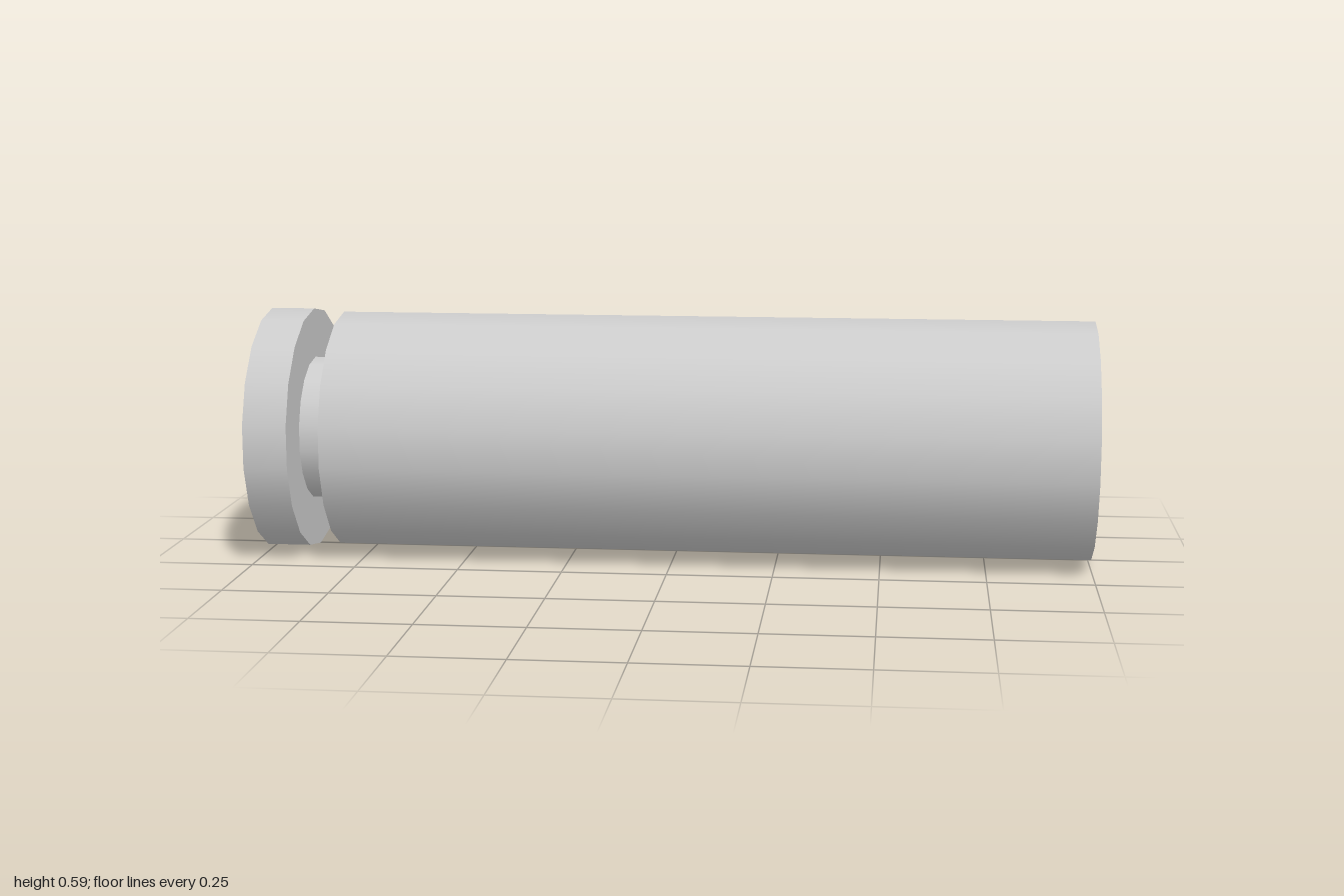
import * as THREE from 'three';

const SIDES = 18;
const AXIS_Y = 0.295, AXIS_Z = 0.005;

export function createModel() {
  const group = new THREE.Group();
  const material = new THREE.MeshStandardMaterial({ color: 0xcccccc });

  const add = (name, geometry, x, y, z) => {
    const mesh = new THREE.Mesh(geometry, material);
    mesh.name = name;
    mesh.position.set(x, y, z);
    group.add(mesh);
  };

  // Round section along x, with a polygon corner at the top and bottom
  const addSection = (name, radius, x0, x1) => {
    const geometry = new THREE.CylinderGeometry(radius, radius, x1 - x0, SIDES, 1, false, Math.PI / 2);
    geometry.rotateZ(-Math.PI / 2);
    add(name, geometry, (x0 + x1) / 2, AXIS_Y, AXIS_Z);
  };

  addSection('endCap', 0.295, -1, -0.895);
  addSection('neck', 0.175, -0.895, -0.82);
  addSection('body', 0.288, -0.82, 1);

  // Flat block set into the back of the body
  add('backBlock', new THREE.BoxGeometry(0.82, 0.245, 0.09), 0.075, AXIS_Y, -0.25);

  return group;
}
